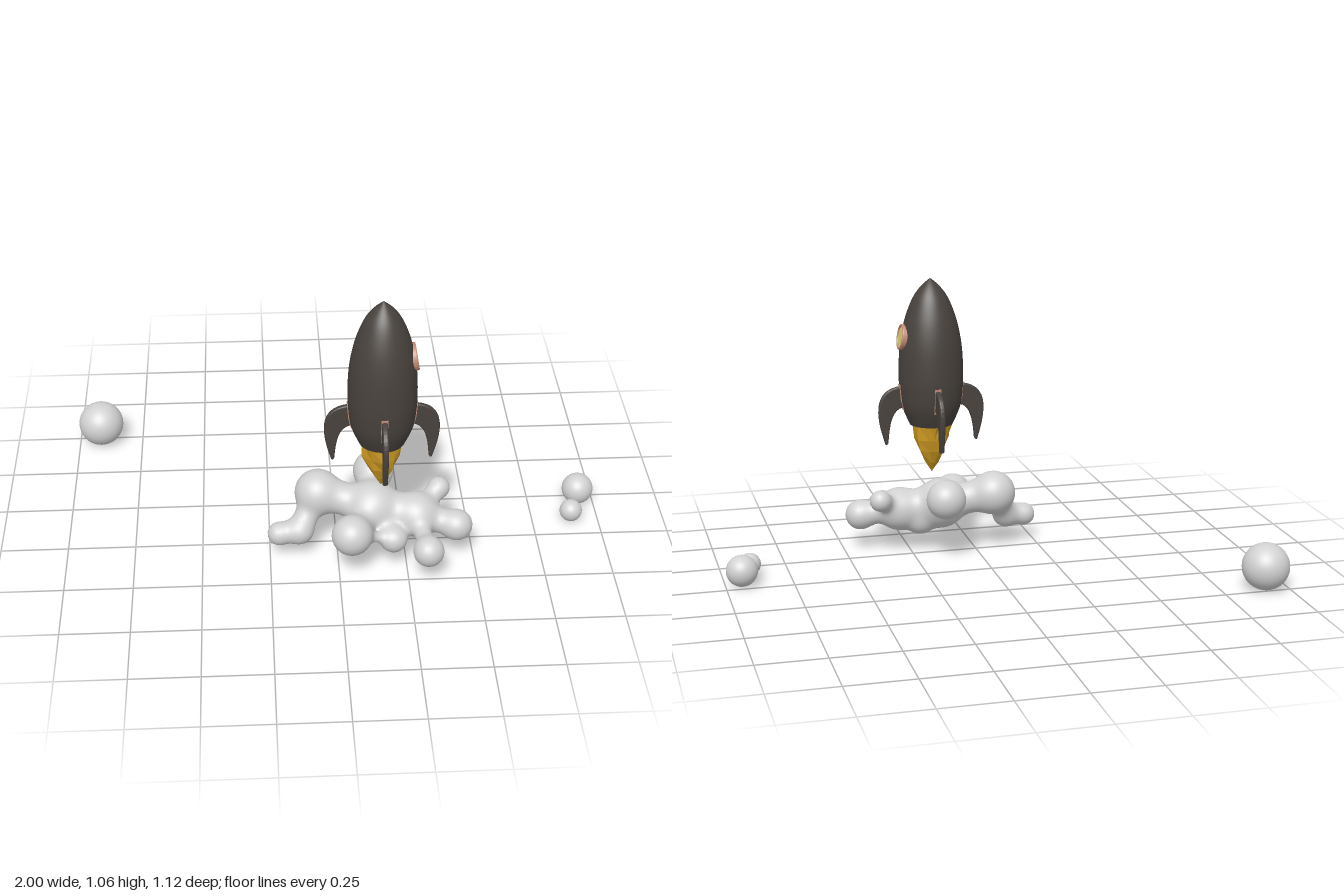
import * as THREE from 'three';
import { mergeVertices } from 'three/addons/utils/BufferGeometryUtils.js';

const mat = (name, color, side = THREE.FrontSide) =>
  Object.assign(new THREE.MeshStandardMaterial({ color, side }), { name });

const mesh = (name, geometry, material, x = 0, y = 0, z = 0) => {
  const m = new THREE.Mesh(geometry, material);
  m.name = name;
  m.position.set(x, y, z);
  return m;
};

const flat = (g) => {
  const n = g.index ? g.toNonIndexed() : g;
  n.computeVertexNormals();
  return n;
};

const vectors = (list) => list.map(([x, y]) => new THREE.Vector2(x, y));

// Smoke puffs: x, y, z, radius
const PUFFS = [
  [0.13, 0.185, 0.29, 0.095],   // 0 core
  [0.29, 0.165, 0.32, 0.08],    // 1 right mass
  [-0.07, 0.225, 0.245, 0.083], // 2 left rear
  [0.142, 0.242, 0.14, 0.074],  // 3 rear
  [0.045, 0.175, 0.455, 0.073], // 4 front left
  [0.32, 0.13, 0.505, 0.055],   // 5 front right
  [0.435, 0.14, 0.36, 0.055],   // 6 far right
  [0.378, 0.225, 0.24, 0.036],  // 7 right rear
  [-0.215, 0.102, 0.33, 0.038], // 8 arm tip
  [-0.14, 0.11, 0.325, 0.042],  // 9 arm
  [0.2, 0.12, 0.41, 0.045],     // 10 low front
  [0.21, 0.125, 0.3, 0.06],     // 11 underside
];
// Necks joining the puffs: from, to, radius
const NECKS = [
  [0, 1, 0.065], [0, 2, 0.06], [0, 3, 0.05], [0, 4, 0.045], [1, 5, 0.03], [1, 6, 0.042],
  [1, 7, 0.03], [2, 9, 0.042], [9, 8, 0.033], [0, 10, 0.035], [10, 4, 0.015],
];

// Soft distance to the whole cloud
const segments = [
  ...PUFFS.map((p) => [p, p, p[3]]),
  ...NECKS.map(([a, b, r]) => [PUFFS[a], PUFFS[b], r]),
];
function cloudDistance(x, y, z) {
  const k = 0.011;
  let sum = 0;
  for (const [a, b, r] of segments) {
    const dx = b[0] - a[0], dy = b[1] - a[1], dz = b[2] - a[2];
    const l = dx * dx + dy * dy + dz * dz;
    const px = x - a[0], py = y - a[1], pz = z - a[2];
    const t = l ? Math.min(1, Math.max(0, (px * dx + py * dy + pz * dz) / l)) : 0;
    sum += Math.exp((r - Math.hypot(px - dx * t, py - dy * t, pz - dz * t)) / k);
  }
  return -k * Math.log(sum + 1e-30);
}
function cloudSlope(p) {
  const e = 0.001, f = cloudDistance;
  return new THREE.Vector3(
    f(p.x + e, p.y, p.z) - f(p.x - e, p.y, p.z),
    f(p.x, p.y + e, p.z) - f(p.x, p.y - e, p.z),
    f(p.x, p.y, p.z + e) - f(p.x, p.y, p.z - e)).divideScalar(2 * e);
}

// Skin the cloud: one vertex per crossed cell, one quad per crossed grid edge
function cloudGeometry() {
  const s = 0.013, origin = [-0.31, 0.01, 0.02], n = [66, 28, 46];
  const id = (c) => (c[0] * n[1] + c[1]) * n[2] + c[2];
  const at = (c) => origin.map((o, i) => o + c[i] * s);
  const field = new Float32Array(n[0] * n[1] * n[2]);
  const each = (fn) => {
    for (let i = 0; i < n[0]; i++) for (let j = 0; j < n[1]; j++) for (let k = 0; k < n[2]; k++) fn([i, j, k]);
  };
  each((c) => { field[id(c)] = cloudDistance(...at(c)); });
  const positions = [], normals = [], index = [], made = new Map();
  const vertex = (c) => {
    const key = id(c);
    if (!made.has(key)) {
      const p = new THREE.Vector3(...at(c)).addScalar(s / 2);
      for (let step = 0; step < 4; step++) {
        const g = cloudSlope(p);
        const move = cloudDistance(p.x, p.y, p.z) / Math.max(0.3, g.lengthSq());
        p.addScaledVector(g, -Math.max(-s, Math.min(s, move)));
      }
      made.set(key, positions.length / 3);
      positions.push(...p);
      normals.push(...cloudSlope(p).normalize());
    }
    return made.get(key);
  };
  each((c) => {
    if (c.some((v, i) => v < 1 || v > n[i] - 2)) return;
    for (let a = 0; a < 3; a++) {
      const next = [...c];
      next[a]++;
      const inside = field[id(c)] < 0;
      if (inside === field[id(next)] < 0) continue;
      const cell = (b, d) => {
        const q = [...c];
        q[(a + 1) % 3] += b;
        q[(a + 2) % 3] += d;
        return vertex(q);
      };
      const q = [cell(-1, -1), cell(0, -1), cell(0, 0), cell(-1, 0)];
      if (!inside) q.reverse();
      index.push(q[0], q[1], q[2], q[0], q[2], q[3]);
    }
  });
  const g = new THREE.BufferGeometry();
  g.setAttribute('position', new THREE.Float32BufferAttribute(positions, 3));
  g.setAttribute('normal', new THREE.Float32BufferAttribute(normals, 3));
  g.setIndex(index);
  return g;
}

// Swept-back fin outline: x is distance from the rocket axis
function finGeometry() {
  const s = new THREE.Shape();
  s.moveTo(0.1, 0.645);
  s.lineTo(0.122, 0.651);
  s.bezierCurveTo(0.17, 0.645, 0.208, 0.62, 0.207, 0.55);
  s.bezierCurveTo(0.206, 0.5, 0.19, 0.455, 0.181, 0.424);
  s.quadraticCurveTo(0.173, 0.422, 0.17, 0.432);
  s.bezierCurveTo(0.165, 0.5, 0.155, 0.56, 0.112, 0.568);
  s.lineTo(0.1, 0.57);
  const g = new THREE.ExtrudeGeometry(s, {
    depth: 0.008, bevelThickness: 0.006, bevelSize: 0.006, bevelOffset: -0.006, bevelSegments: 3, curveSegments: 10,
  });
  return g.translate(0, 0, -0.004);
}

// Thin trim strip hugging the hull where a fin meets it
function trimGeometry() {
  const s = new THREE.Shape(vectors([
    [0.1, 0.558], [0.111, 0.558], [0.121, 0.6], [0.126, 0.658], [0.11, 0.66],
  ]));
  return new THREE.ExtrudeGeometry(s, { depth: 0.024, bevelEnabled: false }).translate(0, 0, -0.012);
}

// Faceted flame with an uneven outline
function flameGeometry() {
  const g = mergeVertices(new THREE.LatheGeometry(vectors([
    [0, 0.305], [0.026, 0.345], [0.052, 0.395], [0.067, 0.44], [0.074, 0.505], [0, 0.505],
  ]), 9));
  const p = g.attributes.position;
  for (let i = 0; i < p.count; i++) {
    const x = p.getX(i), y = p.getY(i), z = p.getZ(i);
    const k = y < 0.48 ? 1 + 0.1 * Math.sin(4 * Math.atan2(x, z) + y * 30) : 1;
    p.setXYZ(i, x * k, y, z * k);
  }
  g.deleteAttribute('normal');
  return flat(g);
}

export function createModel() {
  const hull = mat('charcoal', 0x48423d);
  const copper = mat('copper', 0xc48c78);
  const glass = mat('pale yellow', 0xdfd777);
  const fire = mat('amber', 0xcf9b22, THREE.DoubleSide);
  const smoke = mat('smoke grey', 0xd2d2d2);

  const model = new THREE.Group();
  model.name = 'rocketLaunch';
  const rocket = new THREE.Group();
  rocket.name = 'rocket';
  rocket.position.set(0.157, 0, 0.326);
  model.add(rocket);

  // Hull
  const curve = new THREE.SplineCurve(vectors([
    [0.083, 0.498], [0.112, 0.568], [0.122, 0.64], [0.124, 0.7], [0.121, 0.78],
    [0.112, 0.85], [0.095, 0.92], [0.067, 0.99], [0.035, 1.035], [0.0, 1.066],
  ])).getPoints(40);
  curve[40].x = 0;
  rocket.add(mesh('hull', new THREE.LatheGeometry(curve, 48), hull));
  rocket.add(mesh('hullBase', new THREE.CircleGeometry(0.083, 48).rotateX(Math.PI / 2), hull, 0, 0.498, 0));

  // Four fins with trim
  const fin = finGeometry(), trim = trimGeometry();
  for (let i = 0; i < 4; i++) {
    const g = new THREE.Group();
    g.name = 'finAssembly';
    g.rotation.y = i * Math.PI / 2;
    g.add(mesh('fin', fin, hull), mesh('finTrim', trim, copper));
    rocket.add(g);
  }

  // Round window on the left side, tilted with the hull
  const porthole = new THREE.Group();
  porthole.name = 'window';
  porthole.position.set(0.113, 0.843, 0);
  porthole.rotation.z = -Math.PI / 2 + 0.16;
  const ring = vectors([[0.04, -0.02], [0.05, -0.02], [0.05, 0.004], [0.048, 0.008], [0.042, 0.008], [0.04, 0.004], [0.04, -0.02]]);
  porthole.add(mesh('windowRing', flat(new THREE.LatheGeometry(ring, 40)), copper));
  porthole.add(mesh('windowGlass', new THREE.CylinderGeometry(0.041, 0.041, 0.008, 40), glass));
  rocket.add(porthole);

  // Flame and its side tongues
  rocket.add(mesh('flame', flameGeometry(), fire));
  const tongue = flat(new THREE.ConeGeometry(0.032, 0.085, 5).rotateX(Math.PI));
  for (const a of [Math.PI, 0.9, 4.6])
    rocket.add(mesh('flameTongue', tongue, fire, 0.053 * Math.sin(a), 0.459, 0.053 * Math.cos(a)));

  // Smoke cloud and loose puffs
  model.add(mesh('smokeCloud', cloudGeometry(), smoke));
  for (const [x, y, z, r] of [[-0.912, 0.089, -0.476, 0.088], [0.939, 0.06, 0.036, 0.059], [0.896, 0.043, 0.156, 0.042]])
    model.add(mesh('loosePuff', new THREE.SphereGeometry(r, 40, 24), smoke, x, y, z));

  return model;
}
